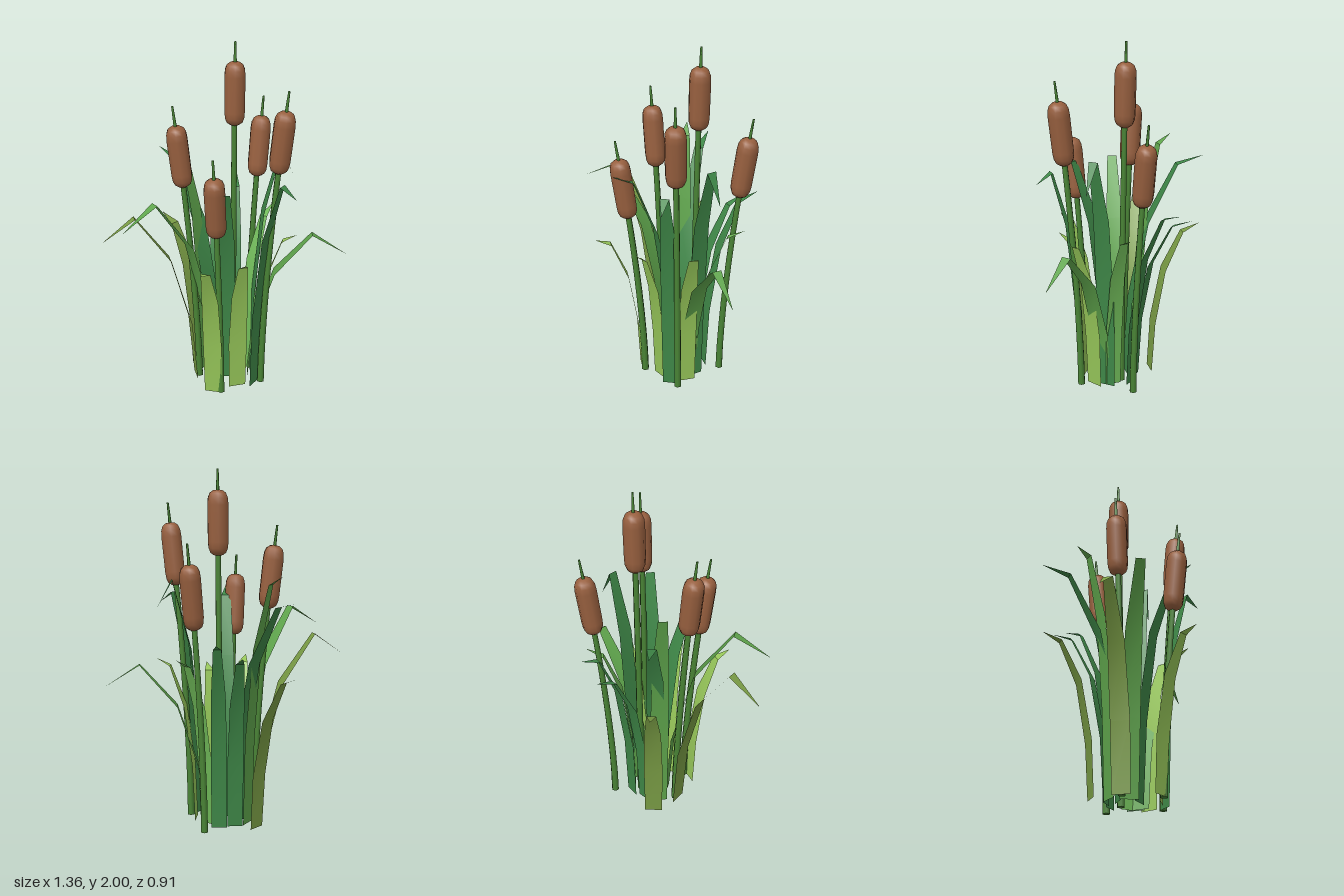
import * as THREE from 'three';
import { toCreasedNormals } from 'three/addons/utils/BufferGeometryUtils.js';

const mat = (color, extra = {}) => new THREE.MeshStandardMaterial({ color, ...extra });
const stemMat = mat(0x4a8536);
const headMat = mat(0x98603f);
const lime = mat(0x96c659, { side: THREE.DoubleSide });
const olive = mat(0x7a9d45, { side: THREE.DoubleSide });
const bright = mat(0x6fb858, { side: THREE.DoubleSide });
const mid = mat(0x5fa54c, { side: THREE.DoubleSide });
const deep = mat(0x3f8848, { side: THREE.DoubleSide });

// Cattail bases, tips and heights: [baseX, baseZ, tipX, tipZ, height]
const CATTAILS = [
  [0.04, -0.075, 0.05, -0.105, 2.0],
  [0.2, 0.1, 0.32, 0.168, 1.81],
  [-0.16, 0.025, -0.287, 0.04, 1.69],
  [0.13, -0.205, 0.218, -0.335, 1.62],
  [-0.035, 0.205, -0.077, 0.34, 1.5],
];

// Blades: [baseX, baseZ, tipX, tipZ, kneeHeight, tipHeight, material, widthScale]
const BLADES = [
  [-0.18, 0.03, -0.684, 0.146, 1.07, 0.94, olive, 1],
  [-0.08, 0.03, -0.55, 0.35, 1.21, 1.095, mid, 1],
  [-0.065, -0.04, -0.38, -0.365, 1.27, 1.31, deep, 1],
  [-0.165, -0.15, -0.37, -0.35, 0.86, 0.9, olive, 1],
  [-0.12, -0.07, -0.3, -0.19, 1.38, 1.43, mid, 1],
  [-0.045, -0.12, -0.066, -0.457, 0.98, 1.03, deep, 0.85],
  [0.045, -0.14, 0.073, -0.457, 1.06, 1.1, deep, 0.85],
  [0.11, -0.06, 0.28, -0.267, 0.94, 0.99, bright, 0.9],
  [0.14, -0.035, 0.385, -0.06, 1.4, 1.24, deep, 1],
  [0.125, 0, 0.68, 0.007, 0.915, 0.79, mid, 1],
  [0.17, 0.03, 0.39, 0.07, 0.9, 0.94, lime, 1],
  [0.16, 0.125, 0.365, 0.267, 1.3, 1.24, deep, 0.95],
  [0.06, 0.15, 0.1, 0.305, 0.83, 0.87, lime, 1],
  [0, 0.05, -0.02, 0.385, 1.27, 1.32, deep, 1],
  [-0.08, 0.21, -0.142, 0.45, 0.855, 0.885, lime, 1],
];

// Point on a leaning stem's curve at height y
function stemPoint([bx, bz, tx, tz, h], y) {
  const k = Math.pow(Math.min(1, Math.max(0, y / h)), 1.6);
  return new THREE.Vector3(bx + (tx - bx) * k, y, bz + (tz - bz) * k);
}

// Shift a vertical geometry sideways along the stem's curve
function bend(geo, spec) {
  const p = geo.attributes.position;
  for (let i = 0; i < p.count; i++) {
    const c = stemPoint(spec, p.getY(i));
    p.setX(i, p.getX(i) + c.x);
    p.setZ(i, p.getZ(i) + c.z);
  }
  geo.computeBoundingSphere();
  return geo;
}

// Seed head: straight barrel with short rounded ends
const HEAD = [
  [0, -0.178], [0.026, -0.174], [0.045, -0.16], [0.055, -0.135], [0.058, -0.1],
  [0.059, 0.1], [0.056, 0.135], [0.046, 0.16], [0.027, 0.174], [0, 0.178],
].map(([r, y]) => new THREE.Vector2(r, y));

function cattail(spec) {
  const h = spec[4];
  const g = new THREE.Group();
  g.name = 'cattail';
  const add = (name, geo, material) => {
    const m = new THREE.Mesh(geo, material);
    m.name = name;
    g.add(m);
    return m;
  };
  const stemTop = h - 0.42;
  const stem = new THREE.CylinderGeometry(0.017, 0.022, stemTop, 6, 8);
  add('stem', bend(stem.translate(0, stemTop / 2, 0), spec), stemMat);
  const spike = new THREE.CylinderGeometry(0.006, 0.011, 0.16, 5, 2);
  add('spike', bend(spike.translate(0, h - 0.08, 0), spec), stemMat);

  // Head is tilted along the line between its two ends
  const low = stemPoint(spec, h - 0.465), high = stemPoint(spec, h - 0.11);
  const head = add('seedHead', new THREE.LatheGeometry(HEAD, 10), headMat);
  head.position.lerpVectors(low, high, 0.5);
  head.quaternion.setFromUnitVectors(new THREE.Vector3(0, 1, 0), high.sub(low).normalize());
  return g;
}

// Flat ribbon that rises, arches outward and ends in a point
function blade([bx, bz, tx, tz, kneeY, tipY, material, widthScale]) {
  const reach = [0, 0.06, 0.27, 0.65, 1];
  const heights = [0, 0.36 * kneeY, 0.74 * kneeY, kneeY, tipY];
  const halfWidths = [0.05, 0.054, 0.047, 0.027, 0.001];
  const dx = tx - bx, dz = tz - bz, len = Math.hypot(dx, dz);
  const pos = [], idx = [];
  reach.forEach((r, i) => {
    for (const s of [-1, 1]) {
      const w = (s * halfWidths[i] * widthScale) / len;
      pos.push(bx + dx * r - dz * w, heights[i], bz + dz * r + dx * w);
    }
    if (i) {
      const a = 2 * i - 2;
      idx.push(a, a + 2, a + 1, a + 1, a + 2, a + 3);
    }
  });
  const geo = new THREE.BufferGeometry();
  geo.setAttribute('position', new THREE.Float32BufferAttribute(pos, 3));
  geo.setIndex(idx);
  const m = new THREE.Mesh(toCreasedNormals(geo, 0.5), material);
  m.name = 'leafBlade';
  return m;
}

export function createModel() {
  const model = new THREE.Group();
  model.name = 'cattailClump';
  CATTAILS.forEach((c) => model.add(cattail(c)));
  const leaves = new THREE.Group();
  leaves.name = 'leaves';
  BLADES.forEach((b) => leaves.add(blade(b)));
  model.add(leaves);
  return model;
}
